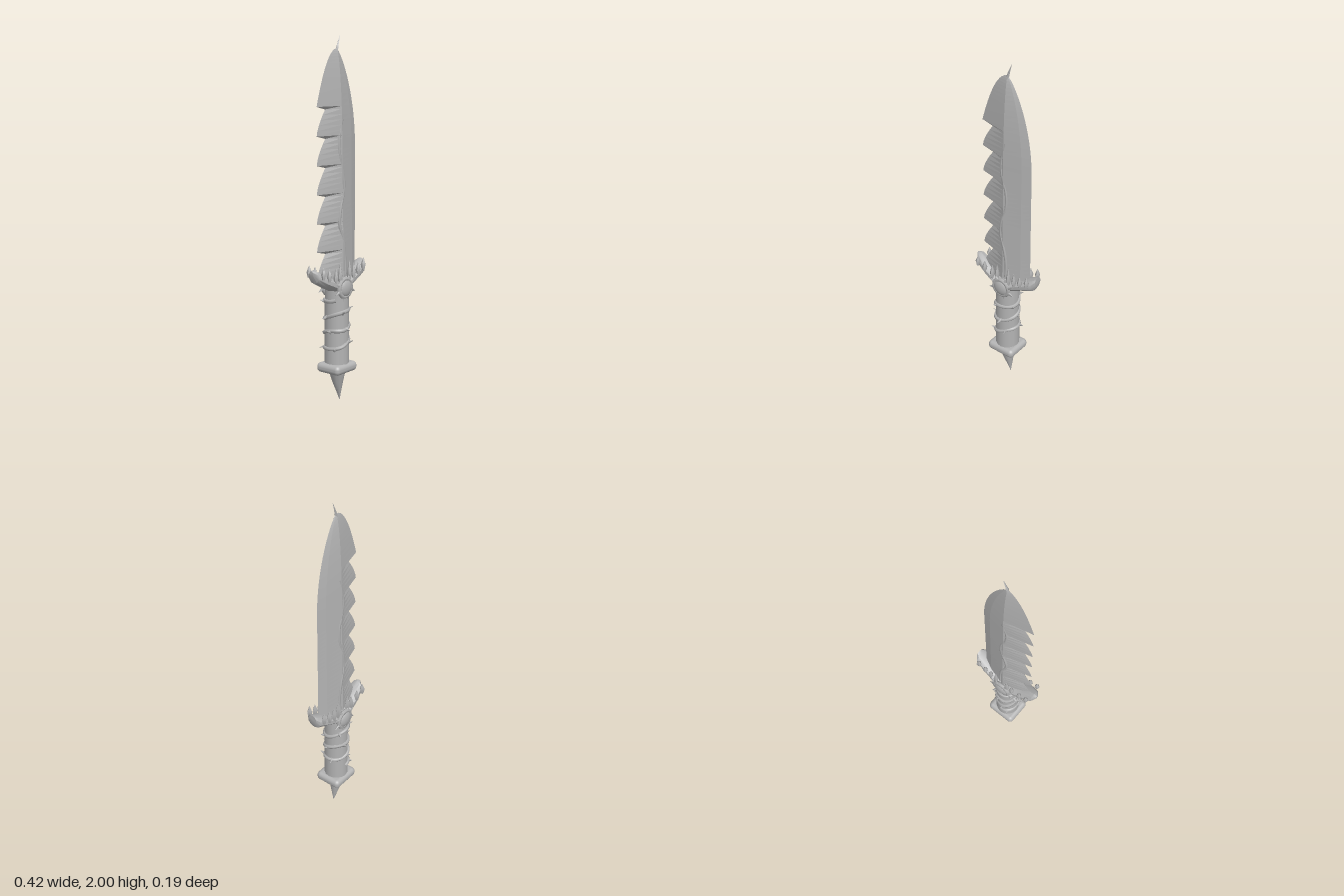
import * as THREE from 'three';
import { toCreasedNormals } from 'three/addons/utils/BufferGeometryUtils.js';
import { RoundedBoxGeometry } from 'three/addons/geometries/RoundedBoxGeometry.js';

const steel = new THREE.MeshStandardMaterial({ color: 0xb3b3b3 });
steel.name = 'grey steel';

function add(parent, name, geometry) {
  const mesh = new THREE.Mesh(geometry, steel);
  mesh.name = name;
  parent.add(mesh);
  return mesh;
}

// Skin closed rings of [x, y, z] points, with fan caps; rings turn positively about the path
function loft(rings, crease = 0) {
  const pos = [];
  const tri = (a, b, c) => pos.push(...a, ...b, ...c);
  const n = rings[0].length;
  const middle = (ring) => [0, 1, 2].map((k) => ring.reduce((s, p) => s + p[k], 0) / n);
  const first = rings[0], last = rings[rings.length - 1];
  const c0 = middle(first), c1 = middle(last);
  for (let j = 0; j < n; j++) {
    const q = (j + 1) % n;
    for (let i = 0; i < rings.length - 1; i++) {
      const a = rings[i], b = rings[i + 1];
      tri(a[j], a[q], b[q]);
      tri(a[j], b[q], b[j]);
    }
    tri(c0, first[q], first[j]);
    tri(c1, last[j], last[q]);
  }
  const g = new THREE.BufferGeometry();
  g.setAttribute('position', new THREE.Float32BufferAttribute(pos, 3));
  g.computeVertexNormals();
  return crease ? toCreasedNormals(g, crease) : g;
}

// Leaning round spike through [x, y, z, radius] stations, going up
function spike(stations, sides) {
  return loft(stations.map(([x, y, z, r]) => Array.from({ length: sides }, (_, j) => {
    const a = (j / sides) * Math.PI * 2;
    return [x + r * Math.sin(a), y, z + r * Math.cos(a)];
  })), 0.9);
}

// Blade measurements by height
const rightEdge = (y) => 0.155 * Math.pow(1 - Math.max(0, (y - 1.4) / 0.53) ** 2, 0.8);
const ridge = (y) => (0.05 - 0.012 * Math.min(1, (y - 0.65) / 0.75))
  * Math.pow(1 - Math.max(0, (y - 1.4) / 0.53) ** 2, 0.6);

function bladeGeometry() {
  const edge = []; // [height, serrated edge x]
  const step = 0.154, top = 1.63;
  for (let k = 6; k >= 1; k--) {
    const y = top - k * step;
    for (let i = 0; i <= 5; i++) {
      const s = i / 5;
      edge.push([y + s * (step - 0.016), -0.165 + 0.068 * Math.pow(s, 1.5)]);
    }
  }
  for (let i = 0; i <= 14; i++) {
    const t = 0.999 * (1 - (1 - i / 14) ** 1.6);
    edge.push([top + 0.3 * t, -0.165 * Math.sqrt(1 - t)]);
  }
  return loft(edge.map(([y, xl]) => {
    const xr = rightEdge(y), z = ridge(y);
    return [[xl, y, 0], [0, y, z], [xr * 0.67, y, z * 0.45],
      [xr, y, 0], [xr * 0.67, y, -z * 0.45], [0, y, -z]];
  }));
}

function guardGeometry() {
  // x, centre height, half height, half depth
  const stations = [
    [-0.21, 0.755, 0.013, 0.01], [-0.19, 0.733, 0.038, 0.036], [-0.12, 0.694, 0.034, 0.053],
    [-0.05, 0.664, 0.038, 0.062], [0, 0.652, 0.042, 0.064], [0.05, 0.664, 0.038, 0.062],
    [0.12, 0.694, 0.034, 0.055], [0.19, 0.728, 0.042, 0.045], [0.207, 0.75, 0.028, 0.026],
  ];
  return loft(stations.map(([x, y, h, d]) => Array.from({ length: 10 }, (_, j) => {
    const a = (j / 10) * Math.PI * 2;
    return [x, y + h * Math.cos(a), d * Math.sin(a)];
  })), 0.7);
}

export function createModel() {
  const model = new THREE.Group();
  model.name = 'dagger';

  add(model, 'blade', bladeGeometry());
  add(model, 'bladeTipBarb', spike([[0, 1.87, 0, 0.003], [0, 1.925, 0, 0.009],
    [0.008, 1.95, 0, 0.006], [0.026, 2, 0, 0.0005]], 4));

  // Winding root on each face of the blade
  const bends = [[0.018, 0.72], [0.02, 0.8], [0.008, 0.9], [-0.02, 1.0], [-0.012, 1.08],
    [0.016, 1.18], [0.014, 1.27], [-0.012, 1.36], [-0.018, 1.44], [0.008, 1.56]];
  for (const s of [1, -1]) {
    const path = new THREE.CatmullRomCurve3(bends.map(([x, y]) => {
      const sink = 0.004 + 0.004 * (y - 0.72);
      return new THREE.Vector3(x, y, s * (ridge(y) * (1 - Math.abs(x) / 0.165) - sink));
    }));
    add(model, 'bladeRoot', new THREE.TubeGeometry(path, 60, 0.01, 6));
  }

  // Guard with a row of small fangs along both long edges
  add(model, 'guard', guardGeometry());
  const fangs = [[-0.17, 0.735, 0.05], [-0.122, 0.715, 0.055], [-0.068, 0.695, 0.07],
    [-0.034, 0.695, 0.09], [0.045, 0.695, 0.1], [0.082, 0.7, 0.075],
    [0.122, 0.715, 0.058], [0.168, 0.735, 0.055]];
  for (const s of [1, -1]) {
    for (const [x, y, h] of fangs) {
      const z = s * 0.051;
      add(model, 'guardFang', spike([[x, y - 0.015, z, 0.008], [x, y + h * 0.25, z, 0.015],
        [x, y + h * 0.55, z, 0.01], [x, y + h, z, 0.0008]], 5));
    }
  }

  // Round stone in a clawed setting, front and back
  for (const s of [1, -1]) {
    const setting = new THREE.Group();
    setting.name = s > 0 ? 'frontSetting' : 'backSetting';
    setting.position.set(0, 0.648, 0.058);
    add(setting, 'stone', new THREE.SphereGeometry(0.05, 16, 10)).scale.z = 0.45;
    add(setting, 'settingRing', new THREE.TorusGeometry(0.05, 0.012, 6, 14));
    for (const deg of [-75, -20, 25, 65, 115, 155, 200, 255]) {
      const a = THREE.MathUtils.degToRad(deg);
      const claw = add(setting, 'settingClaw', new THREE.ConeGeometry(0.016, 0.05, 5));
      claw.position.set(0.066 * Math.cos(a), 0.058 * Math.sin(a), 0.002);
      claw.rotation.z = a - Math.PI / 2;
      claw.scale.z = 0.7;
    }
    const pivot = new THREE.Group();
    pivot.name = 'settingPivot';
    pivot.rotation.y = s > 0 ? 0 : Math.PI;
    pivot.add(setting);
    model.add(pivot);
  }

  // Grip
  const grip = add(model, 'grip', new THREE.CylinderGeometry(0.066, 0.068, 0.44, 16));
  grip.position.y = 0.42;

  // Thorny vine climbing round the grip
  const vineAt = (a, r) => new THREE.Vector3(r * Math.sin(a),
    0.335 + 0.09 * a / (Math.PI * 2) + 0.008 * Math.sin(a * 1.7), r * Math.cos(a));
  const start = -Math.PI, end = Math.PI * 5.7;
  const vinePath = new THREE.CatmullRomCurve3(Array.from({ length: 50 },
    (_, i) => vineAt(start + (end - start) * i / 49, 0.065 + 0.003 * Math.sin(i * 1.3))));
  add(model, 'vine', new THREE.TubeGeometry(vinePath, 160, 0.0115, 6));
  const up = new THREE.Vector3(0, 1, 0);
  for (let i = 0; i < 14; i++) {
    const a = start + 0.6 + i * 1.47;
    const thorn = add(model, 'thorn', new THREE.ConeGeometry(0.012, 0.036, 5));
    thorn.position.copy(vineAt(a, 0.079));
    const out = new THREE.Vector3(Math.sin(a), i % 3 ? 0.4 : -0.2, Math.cos(a)).normalize();
    thorn.quaternion.setFromUnitVectors(up, out);
  }

  // Square pommel collar and its leaning spike
  const collar = add(model, 'pommelCollar', new RoundedBoxGeometry(0.176, 0.054, 0.16, 4, 0.024));
  collar.position.y = 0.197;
  add(model, 'pommelSpike', spike([[0.023, 0, 0, 0.0008], [0.016, 0.05, 0, 0.014],
    [0.006, 0.11, 0, 0.031], [0, 0.18, 0, 0.05]], 12));

  return model;
}
